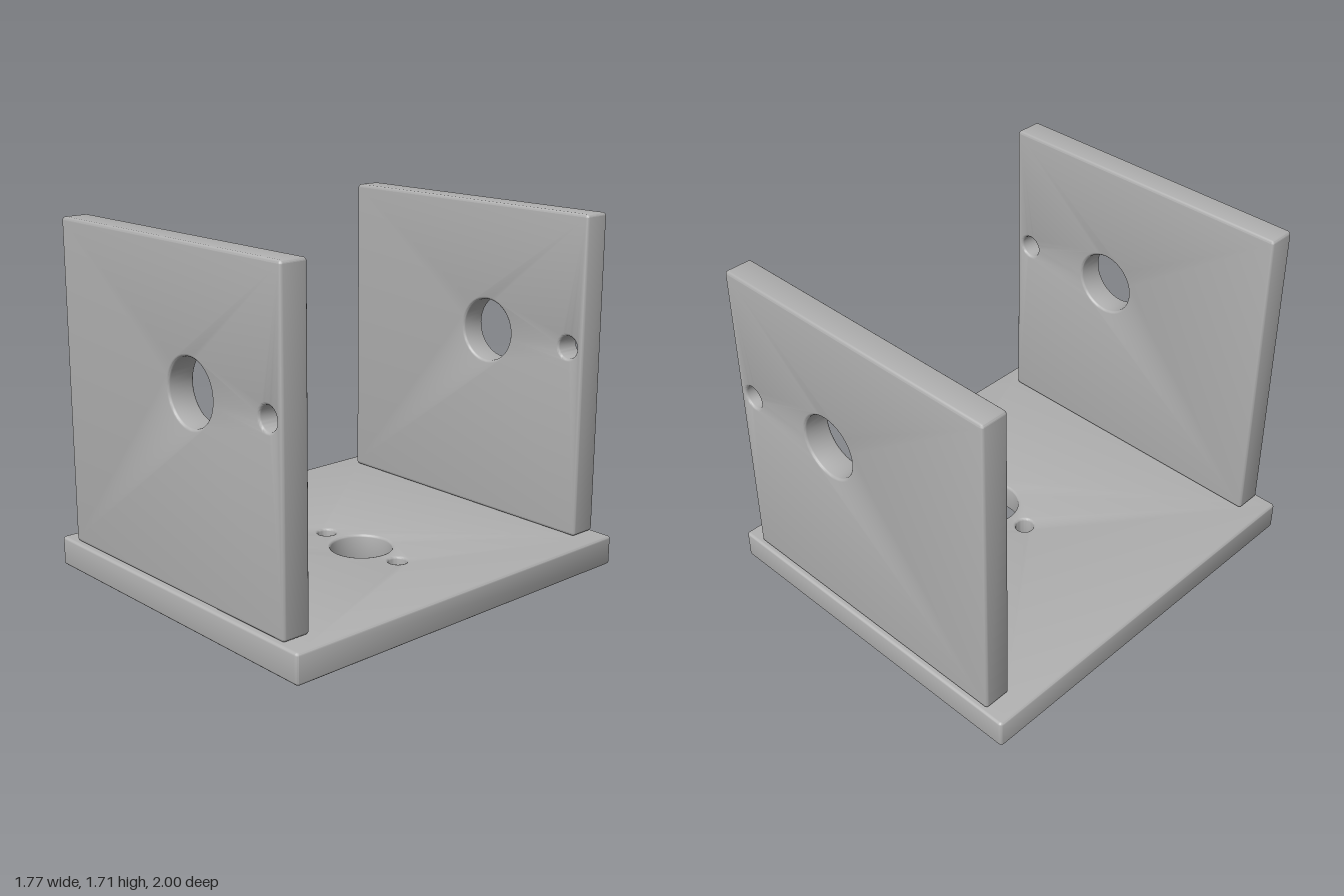
import * as THREE from 'three';
import { toCreasedNormals } from 'three/addons/utils/BufferGeometryUtils.js';

const BEVEL = 0.013;

// Rounded-edge plate centred on the origin in x, y and z; holes are [x, y, radius]
function plateGeometry(width, height, thickness, holes) {
  const w = width / 2, h = height / 2, r = 0.018;
  const shape = new THREE.Shape();
  shape.absarc(w - r, h - r, r, 0, Math.PI / 2);
  shape.absarc(-w + r, h - r, r, Math.PI / 2, Math.PI);
  shape.absarc(-w + r, -h + r, r, Math.PI, Math.PI * 1.5);
  shape.absarc(w - r, -h + r, r, Math.PI * 1.5, Math.PI * 2);
  for (const [x, y, radius] of holes) {
    shape.holes.push(new THREE.Path().absarc(x, y, radius, 0, Math.PI * 2, true));
  }
  const geometry = new THREE.ExtrudeGeometry(shape, {
    depth: thickness - 2 * BEVEL,
    bevelThickness: BEVEL,
    bevelSize: BEVEL,
    bevelOffset: -BEVEL,
    bevelSegments: 3,
    curveSegments: 20,
  });
  geometry.translate(0, 0, -thickness / 2 + BEVEL);
  return toCreasedNormals(geometry, 0.6);
}

export function createModel() {
  const model = new THREE.Group();
  model.name = 'bracket';
  const grey = new THREE.MeshStandardMaterial({ color: 0xb0b0b0 });
  grey.name = 'grey';

  // Base plate with one large hole between two screw holes
  const base = new THREE.Mesh(
    plateGeometry(1.774, 2, 0.143, [[0.175, 0, 0.148], [-0.075, 0, 0.045], [0.425, 0, 0.045]]),
    grey
  );
  base.name = 'basePlate';
  base.rotation.x = -Math.PI / 2;
  base.position.y = 0.0715;
  model.add(base);

  // Matching upright plates at the front and back
  const bottom = 0.147, height = 1.567, middle = bottom + height / 2;
  const holeY = 1.075 - middle;
  const upright = plateGeometry(1.564, height, 0.137, [[0.175, holeY, 0.155], [0.692, holeY, 0.055]]);
  for (const [name, z] of [['frontPlate', 0.912], ['backPlate', -0.912]]) {
    const plate = new THREE.Mesh(upright, grey);
    plate.name = name;
    plate.position.set(0, middle, z);
    model.add(plate);
  }
  return model;
}
